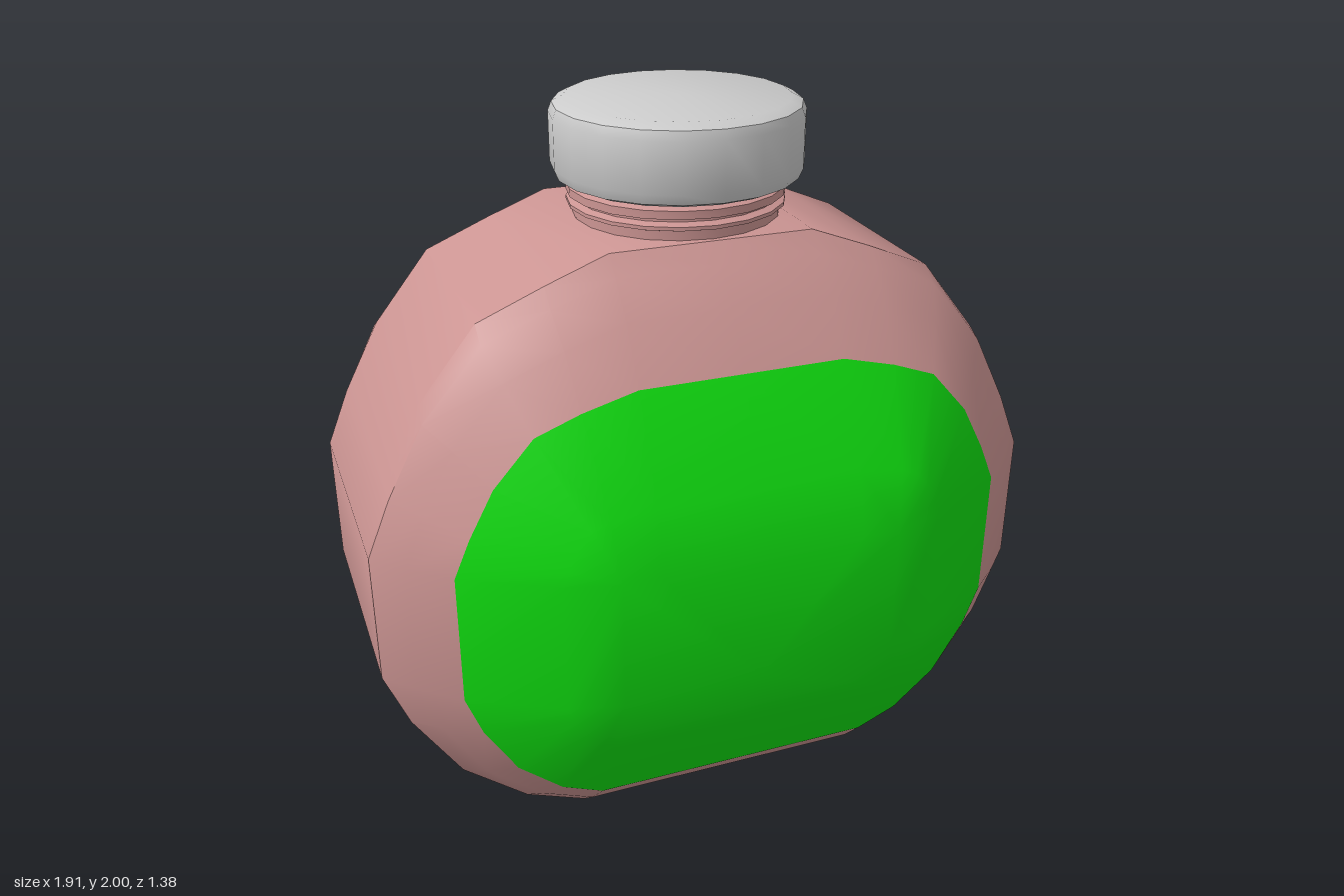
import * as THREE from 'three';
import { toCreasedNormals } from 'three/addons/utils/BufferGeometryUtils.js';

// Right half of the widest outline, bottom centre to top centre
const half = [
  [0, 0], [0.41, 0], [0.58, 0.07], [0.76, 0.22], [0.89, 0.43], [0.955, 0.6],
  [0.955, 0.97], [0.89, 1.14], [0.79, 1.35], [0.63, 1.55], [0.45, 1.625], [0.28, 1.69], [0, 1.69],
];
const outline = [...half, ...half.slice(1, -1).reverse().map(([x, y]) => [-x, y])];

// Slices: z, then how far the outline spreads from the flat core sideways, down and up
const front = [
  [0.69, 0, 0, 0], [0.65, 0.25, 0.27, 0.24], [0.52, 0.675, 0.69, 0.61],
  [0.43, 0.86, 0.85, 0.81], [0.35, 1, 0.967, 0.93], [0.3, 1, 1, 1],
];
const back = front.map(([z, ...f]) => [-z, ...f]).reverse();

function ringPoints([z, side, down, up]) {
  return outline.flatMap(([x, y]) => {
    const cx = THREE.MathUtils.clamp(x, -0.385, 0.385);
    const cy = THREE.MathUtils.clamp(y, 0.6, 0.97);
    return [cx + (x - cx) * side, cy + (y - cy) * (y < cy ? down : up), z];
  });
}

// Skin over slices ordered front to back, with optional end faces
function shell(slices, capFront, capBack) {
  const n = outline.length;
  const index = [];
  for (let s = 0; s < slices.length - 1; s++) {
    for (let i = 0; i < n; i++) {
      const j = (i + 1) % n;
      const a = s * n + i, b = s * n + j;
      index.push(a, a + n, b + n, a, b + n, b);
    }
  }
  const last = (slices.length - 1) * n;
  for (let i = 1; i < n - 1; i++) {
    if (capFront) index.push(0, i, i + 1);
    if (capBack) index.push(last, last + i + 1, last + i);
  }
  const geometry = new THREE.BufferGeometry();
  geometry.setAttribute('position', new THREE.Float32BufferAttribute(slices.flatMap(ringPoints), 3));
  geometry.setIndex(index);
  return toCreasedNormals(geometry, 0.6);
}

function lathe(points, segments) {
  const profile = points.map(([r, y]) => new THREE.Vector2(r, y));
  return toCreasedNormals(new THREE.LatheGeometry(profile, segments), 0.7);
}

export function createModel() {
  const group = new THREE.Group();
  const pink = new THREE.MeshStandardMaterial({ color: 0xcc9593, side: THREE.DoubleSide });
  const green = new THREE.MeshStandardMaterial({ color: 0x10e010, side: THREE.DoubleSide });
  const grey = new THREE.MeshStandardMaterial({ color: 0xcccccc });

  const add = (name, geometry, material, x = 0) => {
    const mesh = new THREE.Mesh(geometry, material);
    mesh.name = name;
    mesh.position.x = x;
    group.add(mesh);
  };

  // Faceted flask and the coloured panel that closes its front
  add('body', shell([...front.slice(2), ...back], false, true), pink);
  add('frontPanel', shell(front.slice(0, 3), true, false), green);

  // Neck with its screw ridges
  add('neck', lathe([
    [0.285, 1.64], [0.285, 1.715], [0.3, 1.72], [0.3, 1.73], [0.28, 1.738],
    [0.28, 1.745], [0.3, 1.75], [0.3, 1.772], [0.28, 1.78], [0.28, 1.82],
  ], 20), pink, 0.01);

  // Rounded screw cap
  add('cap', lathe([
    [0, 1.785], [0.305, 1.785], [0.333, 1.797], [0.345, 1.825],
    [0.345, 1.96], [0.335, 1.985], [0.305, 2], [0, 2],
  ], 20), grey, 0.015);

  return group;
}
